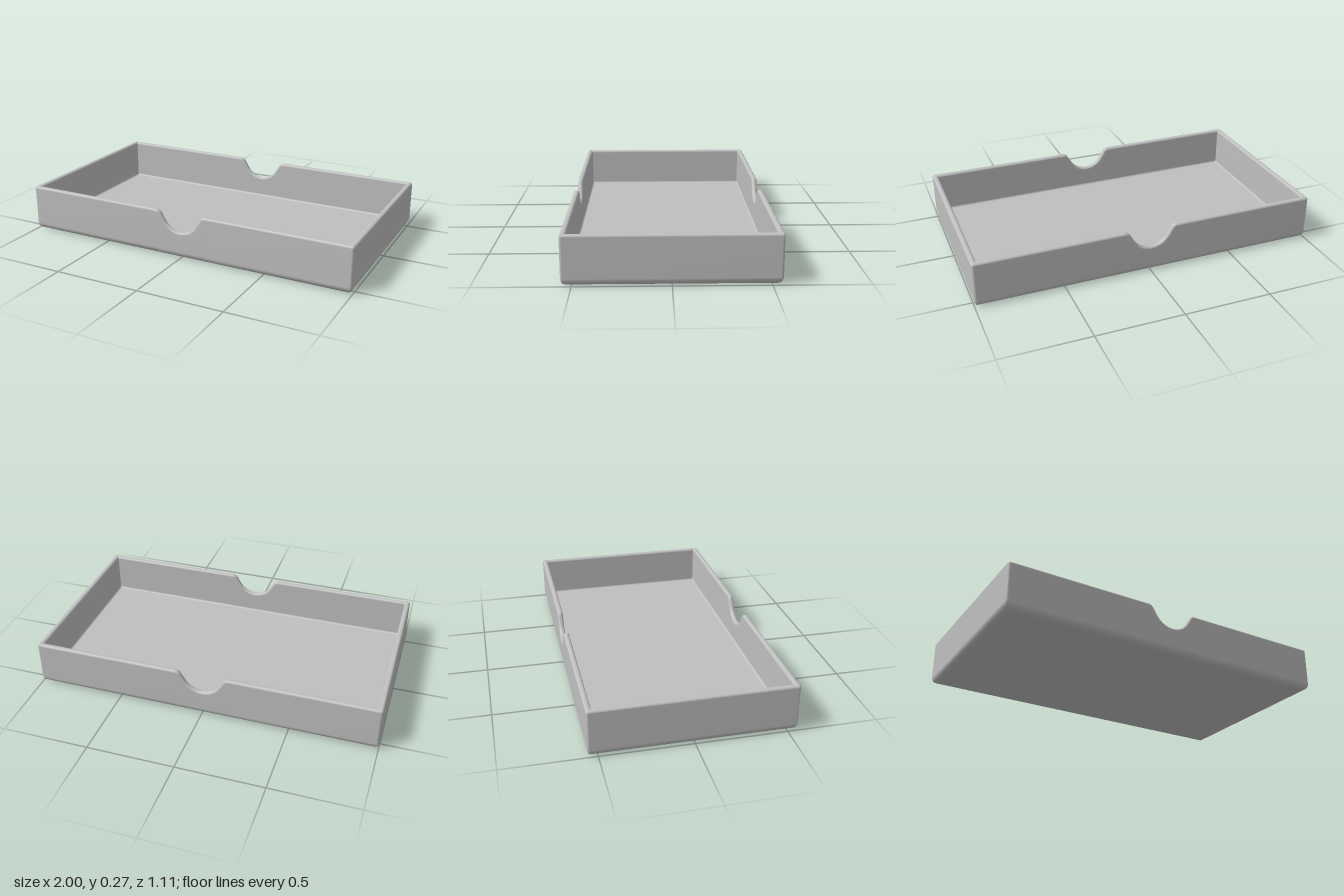
import * as THREE from 'three';

const W = 1, D = 0.555, H = 0.268;      // half width, half depth, height
const WALL = 0.032, FLOOR = 0.03;       // wall and floor thickness
const R_BASE = 0.04, R_RIM = 0.013, R_IN = 0.012, R_CORNER = 0.014;

// Finger notch outline from its middle to the flat rim: x, y and the normal
function notchHalf() {
  const r = 0.115, r2 = 0.035, slope = THREE.MathUtils.degToRad(58);
  const bottom = 0.153, pts = [];
  for (let i = 0; i <= 12; i++) {
    const a = slope * i / 12;
    pts.push({ x: r * Math.sin(a), y: bottom + r * (1 - Math.cos(a)), nx: -Math.sin(a), ny: Math.cos(a) });
  }
  const last = pts[pts.length - 1];
  const y2 = H - r2 * (1 - Math.cos(slope));
  const x2 = last.x + (y2 - last.y) / Math.tan(slope);
  const cx = x2 + r2 * Math.sin(slope);
  for (let i = 0; i <= 8; i++) {
    const a = slope * (1 - i / 8);
    pts.push({ x: cx - r2 * Math.sin(a), y: H - r2 + r2 * Math.cos(a), nx: -Math.sin(a), ny: Math.cos(a) });
  }
  return pts;
}

// Columns around the tray: rounded corners, with a notch in the front and back
function makeColumns() {
  const half = notchHalf();
  const mirrored = half.slice(1).map(p => ({ ...p, x: -p.x, nx: -p.nx })).reverse();
  const notch = [...mirrored, ...half];
  const columns = [];
  const corner = (sx, sz, start) => {
    for (let i = 0; i <= 5; i++) columns.push({ sx, sz, a: start + (Math.PI / 2) * i / 5, y: H, nx: 0, ny: 1 });
  };
  corner(1, 1, 0);
  [...notch].reverse().forEach(p => columns.push({ ...p, sz: 1 }));
  corner(-1, 1, Math.PI / 2);
  corner(-1, -1, Math.PI);
  notch.forEach(p => columns.push({ ...p, sz: -1 }));
  corner(1, -1, Math.PI * 1.5);
  return columns;
}

// Wall section from the underside, over the rim, to the floor.
// Each point has an inset plus either a fixed height or a drop below the rim.
function makeSection() {
  const rows = [], n = 6;
  const arc = f => { for (let i = 0; i <= n; i++) rows.push(f(Math.PI / 2 * i / n)); };
  arc(a => ({ inset: R_BASE * (1 - Math.sin(a)), y: R_BASE * (1 - Math.cos(a)) }));
  arc(a => ({ inset: R_RIM * (1 - Math.cos(a)), drop: R_RIM * (1 - Math.sin(a)) }));
  arc(a => ({ inset: WALL - R_RIM * (1 - Math.sin(a)), drop: R_RIM * (1 - Math.cos(a)) }));
  arc(a => ({ inset: WALL + R_IN * (1 - Math.cos(a)), y: FLOOR + R_IN * (1 - Math.sin(a)) }));
  return rows;
}

function trayGeometry() {
  const columns = makeColumns(), rows = makeSection();
  const n = columns.length, pos = [], idx = [];
  for (const { inset, y, drop } of rows) {
    for (const c of columns) {
      const d = drop ?? R_RIM;
      const py = y ?? c.y - c.ny * d;
      if (c.a !== undefined) {
        const r = Math.max(0.003, R_CORNER - inset);
        pos.push(c.sx * (W - inset - r) + r * Math.cos(c.a), py, c.sz * (D - inset - r) + r * Math.sin(c.a));
      } else {
        pos.push(c.x - c.nx * d, py, c.sz * (D - inset));
      }
    }
  }
  for (let i = 0; i < rows.length - 1; i++) {
    for (let j = 0; j < n; j++) {
      const k = (j + 1) % n, a = i * n + j, b = i * n + k;
      idx.push(a, a + n, b, b, a + n, b + n);
    }
  }
  // Underside and inner floor
  const under = pos.length / 3, top = (rows.length - 1) * n;
  pos.push(0, 0, 0, 0, FLOOR, 0);
  for (let j = 0; j < n; j++) {
    const k = (j + 1) % n;
    idx.push(under, j, k, under + 1, top + k, top + j);
  }
  const geo = new THREE.BufferGeometry();
  geo.setAttribute('position', new THREE.Float32BufferAttribute(pos, 3));
  geo.setIndex(idx);
  geo.computeVertexNormals();
  return geo;
}

export function createModel() {
  const group = new THREE.Group();
  group.name = 'notchedTray';
  const grey = new THREE.MeshStandardMaterial({ color: 0xbfbfbf });
  grey.name = 'light grey';
  const tray = new THREE.Mesh(trayGeometry(), grey);
  tray.name = 'tray';
  group.add(tray);
  return group;
}
